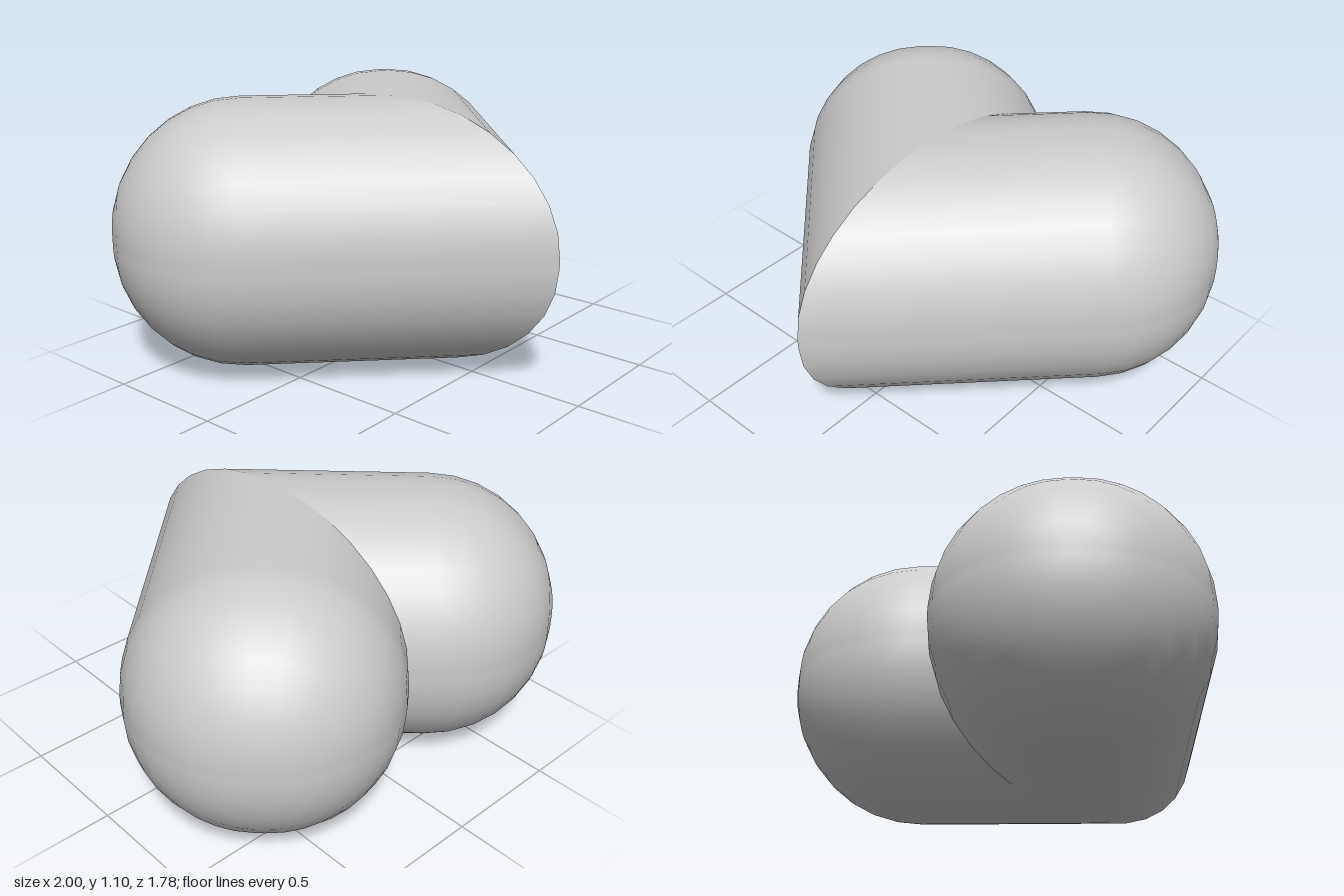
import * as THREE from 'three';

const FLAT = 0.02;     // half width of the narrow flat strips
const ROUND = 0.53;    // rounding radius
const HALF = FLAT + ROUND;
const STEPS = 8;       // segments per quarter turn
const REACH = 0.625;   // lobe centre, measured along the arm from the mitre
const APEX_Z = 0.11;   // where the two arm axes meet on x = 0

// One arm: a rounded bar at 45 degrees, mitred on x = 0, with a domed far end
function armGeometry(side) {
  const positions = [], normals = [], indices = [];
  const k = Math.SQRT1_2;
  const ringSize = 4 * (STEPS + 1);
  const lastRing = STEPS + 1;

  // s runs along the arm, u across it, y up
  const place = (s, u, y) => [side * k * (s + u), y, k * (u - s)];

  // Ring 0 lies on the mitre plane, the others climb the dome
  for (let i = 0; i <= lastRing; i++) {
    const phi = Math.max(0, i - 1) / STEPS * Math.PI / 2;
    for (let j = 0; j < ringSize; j++) {
      const corner = Math.floor(j / (STEPS + 1));
      const theta = (corner + (j % (STEPS + 1)) / STEPS) * Math.PI / 2;
      const nu = Math.cos(phi) * Math.cos(theta);
      const ny = Math.cos(phi) * Math.sin(theta);
      const ns = Math.sin(phi);
      const u = ROUND * nu + (corner === 0 || corner === 3 ? FLAT : -FLAT);
      const y = ROUND * ny + (corner < 2 ? FLAT : -FLAT);
      const s = i === 0 ? -u : REACH + FLAT + ROUND * ns;
      const p = place(s, u, y);
      positions.push(p[0], p[1] + HALF, p[2] + APEX_Z);
      normals.push(...place(ns, nu, ny));
    }
  }

  const face = (a, b, c) => indices.push(...(side > 0 ? [a, b, c] : [a, c, b]));
  for (let i = 0; i < lastRing; i++) {
    for (let j = 0; j < ringSize; j++) {
      const next = (j + 1) % ringSize;
      const a = i * ringSize + j, b = i * ringSize + next;
      const c = a + ringSize, d = b + ringSize;
      face(a, d, b);
      // the last ring shrinks to a square, so only its sides need this triangle
      if (i < lastRing - 1 || j % (STEPS + 1) === STEPS) face(a, c, d);
    }
  }

  // Tiny flat square at the tip of the dome
  const q = [0, 1, 2, 3].map(n => lastRing * ringSize + n * (STEPS + 1));
  face(q[0], q[3], q[2]);
  face(q[0], q[2], q[1]);

  const geometry = new THREE.BufferGeometry();
  geometry.setAttribute('position', new THREE.Float32BufferAttribute(positions, 3));
  geometry.setAttribute('normal', new THREE.Float32BufferAttribute(normals, 3));
  geometry.setIndex(indices);
  return geometry;
}

export function createModel() {
  const group = new THREE.Group();
  group.name = 'heart';
  const material = new THREE.MeshStandardMaterial({ color: 0xcccccc });

  // Two mirrored halves meet in a sharp crease
  for (const [name, side] of [['leftHalf', 1], ['rightHalf', -1]]) {
    const half = new THREE.Mesh(armGeometry(side), material);
    half.name = name;
    group.add(half);
  }
  return group;
}
